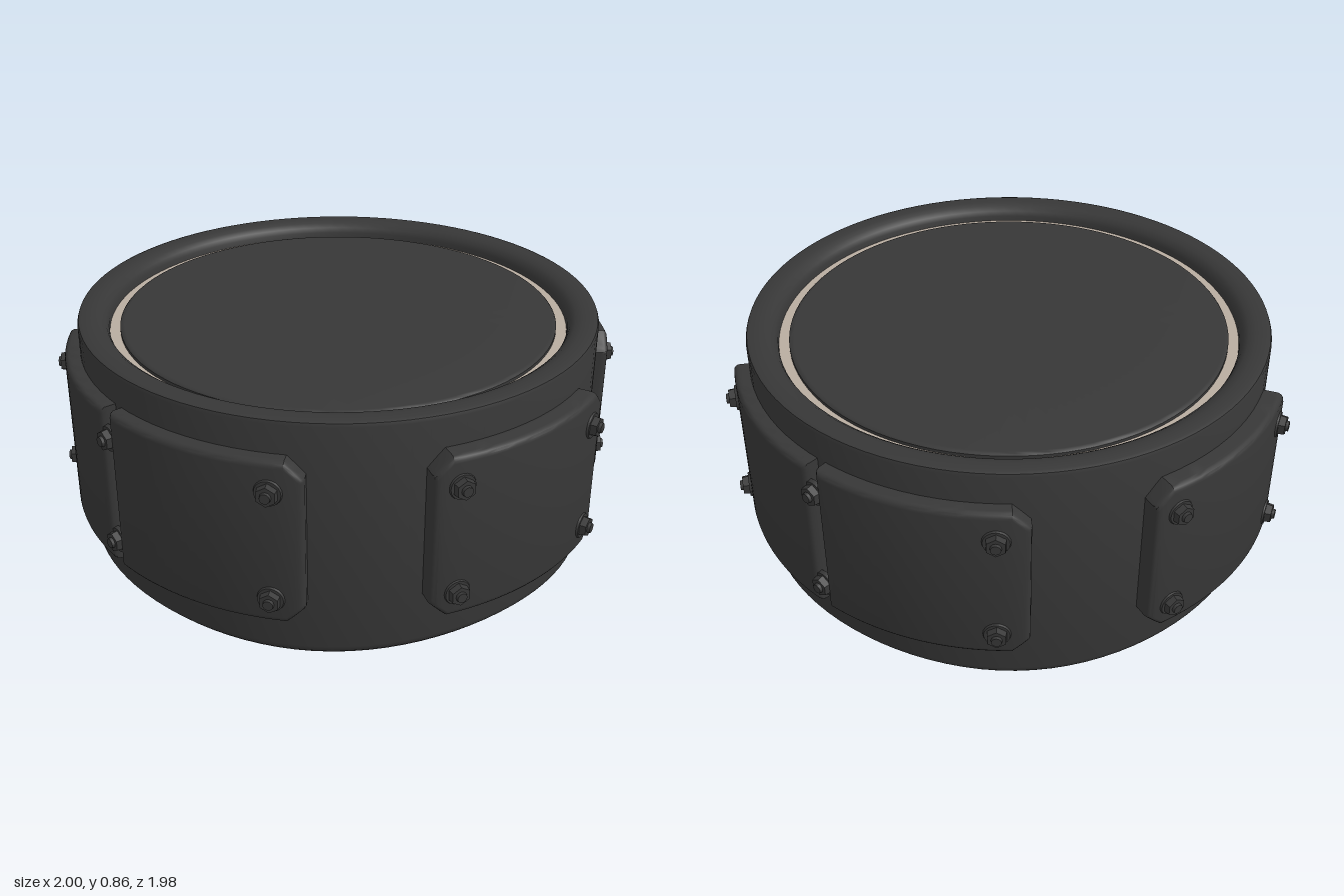
import * as THREE from 'three';
import { toCreasedNormals } from 'three/addons/utils/BufferGeometryUtils.js';

const rad = THREE.MathUtils.degToRad;

export function createModel() {
  const group = new THREE.Group();
  const material = (name, color) => {
    const m = new THREE.MeshStandardMaterial({ color });
    m.name = name;
    return m;
  };
  const charcoal = material('charcoal', 0x373737);
  const cream = material('cream', 0xb8aca0);

  const add = (name, geometry, mat, parent = group) => {
    const mesh = new THREE.Mesh(geometry, mat);
    mesh.name = name;
    parent.add(mesh);
    return mesh;
  };
  const lathe = (points, segments = 96) =>
    new THREE.LatheGeometry(points.map(([x, y]) => new THREE.Vector2(x, y)), segments);

  // Drum body: recessed underside, rounded rims, gently waved lower edge
  const body = lathe([
    [0, 0.06], [0.775, 0.06], [0.785, 0.05], [0.8, 0.025], [0.825, 0.006], [0.85, 0],
    [0.89, 0], [0.907, 0.006], [0.917, 0.018], [0.92, 0.035], [0.92, 0.845], [0.916, 0.856],
    [0.905, 0.86], [0.865, 0.86], [0.84, 0.854], [0.822, 0.84], [0.813, 0.822], [0.81, 0.79],
  ]);
  const p = body.attributes.position;
  for (let i = 0; i < p.count; i++) {
    const y = p.getY(i), x = p.getX(i), z = p.getZ(i);
    if (y < 0.2 && Math.hypot(x, z) > 0.78) {
      const wave = 0.011 * (1 + Math.cos(4 * Math.atan2(x, z)));
      p.setY(i, y + wave * (1 - y / 0.2));
    }
  }
  add('body', toCreasedNormals(body, 0.7), charcoal);

  // Pale ring in the groove around the lid
  add('grooveRing', lathe([[0.812, 0.803], [0.765, 0.803]]), cream);
  add('lid', toCreasedNormals(lathe([
    [0.775, 0.79], [0.775, 0.814], [0.77, 0.819], [0.76, 0.82], [0.4, 0.823], [0, 0.824],
  ]), 0.7), charcoal);

  // Curved plate with soft edges; angles run from the front (+z) towards +x
  function plateGeometry(a0, a1, outer, cut0, cut1) {
    const inner = 0.915, bevel = 0.022, half = 0.293, midY = 0.4525, length = (a1 - a0) * outer;
    const ease = [0, 0.004, 0.011, bevel, 0.04, 0.062];
    const stations = [...ease];
    for (let i = 1; i < 18; i++) stations.push(0.062 + (length - 0.124) * i / 18);
    stations.push(...ease.map(d => length - d).reverse());
    const positions = [], index = [];
    const columns = stations.map(s => {
      const d = Math.min(s, length - s);
      const k = Math.max(0, 1 - d / bevel);
      const top = outer - bevel * (1 - Math.sqrt(1 - k * k));
      const h = half - Math.max(0, cut0 - s, cut1 - (length - s));
      const side = [[inner, h]];
      for (let i = 0; i <= 4; i++) {
        const t = i * Math.PI / 8;
        side.push([Math.min(top, outer - bevel + bevel * Math.sin(t)), h - bevel + bevel * Math.cos(t)]);
      }
      return [...side.map(([r, y]) => [r, -y]), ...side.reverse()]
        .map(([r, y]) => ({ r, y: y + midY, a: a0 + s / outer }));
    });
    const n = columns[0].length, last = (columns.length - 1) * n;
    for (const c of columns) for (const v of c) {
      positions.push(v.r * Math.sin(v.a), v.y, v.r * Math.cos(v.a));
    }
    for (let i = 0; i < last; i += n) {
      for (let j = 0; j < n; j++) {
        const a = i + j, b = i + (j + 1) % n;
        index.push(a, a + n, b + n, a, b + n, b);
      }
    }
    for (let j = 1; j < n - 1; j++) {
      index.push(0, j, j + 1, last, last + j + 1, last + j);
    }
    const g = new THREE.BufferGeometry();
    g.setAttribute('position', new THREE.Float32BufferAttribute(positions, 3));
    g.setIndex(index);
    return toCreasedNormals(g, 0.6);
  }

  // Bolt: washer, hexagonal nut and stud end, axis pointing outwards
  const washer = new THREE.CylinderGeometry(0.043, 0.048, 0.014, 20).rotateX(Math.PI / 2);
  const nut = toCreasedNormals(new THREE.CylinderGeometry(0.034, 0.037, 0.024, 6).rotateX(Math.PI / 2), 0.4);
  const stud = new THREE.CylinderGeometry(0.017, 0.019, 0.012, 12).rotateX(Math.PI / 2);
  function addBolts(angle, radius) {
    for (const y of [0.25, 0.64]) {
      const bolt = new THREE.Group();
      bolt.name = 'bolt';
      add('washer', washer, charcoal, bolt).position.z = 0.002;
      add('nut', nut, charcoal, bolt).position.z = 0.019;
      add('studEnd', stud, charcoal, bolt).position.z = 0.035;
      bolt.position.set(radius * Math.sin(angle), y, radius * Math.cos(angle));
      bolt.rotation.y = angle;
      group.add(bolt);
    }
  }

  // Front and back plates
  const cut = 0.06;
  for (const [name, turn] of [['frontPlate', 0], ['backPlate', Math.PI]]) {
    add(name, plateGeometry(turn - rad(23), turn + rad(23), 0.988, cut, cut), charcoal);
    for (const s of [-1, 1]) addBolts(turn + s * rad(17.6), 0.985);
  }

  // Paired side plates, meeting at a bolted seam
  for (const [name, turn] of [['leftPlate', Math.PI / 2], ['rightPlate', -Math.PI / 2]]) {
    add(name, plateGeometry(turn + rad(1.1), turn + rad(44), 0.974, 0, cut), charcoal);
    add(name, plateGeometry(turn - rad(44), turn - rad(1.1), 0.974, cut, 0), charcoal);
    for (const s of [-1, 1]) addBolts(turn + s * rad(37.5), 0.972);
    addBolts(turn, 0.959);
  }
  return group;
}
